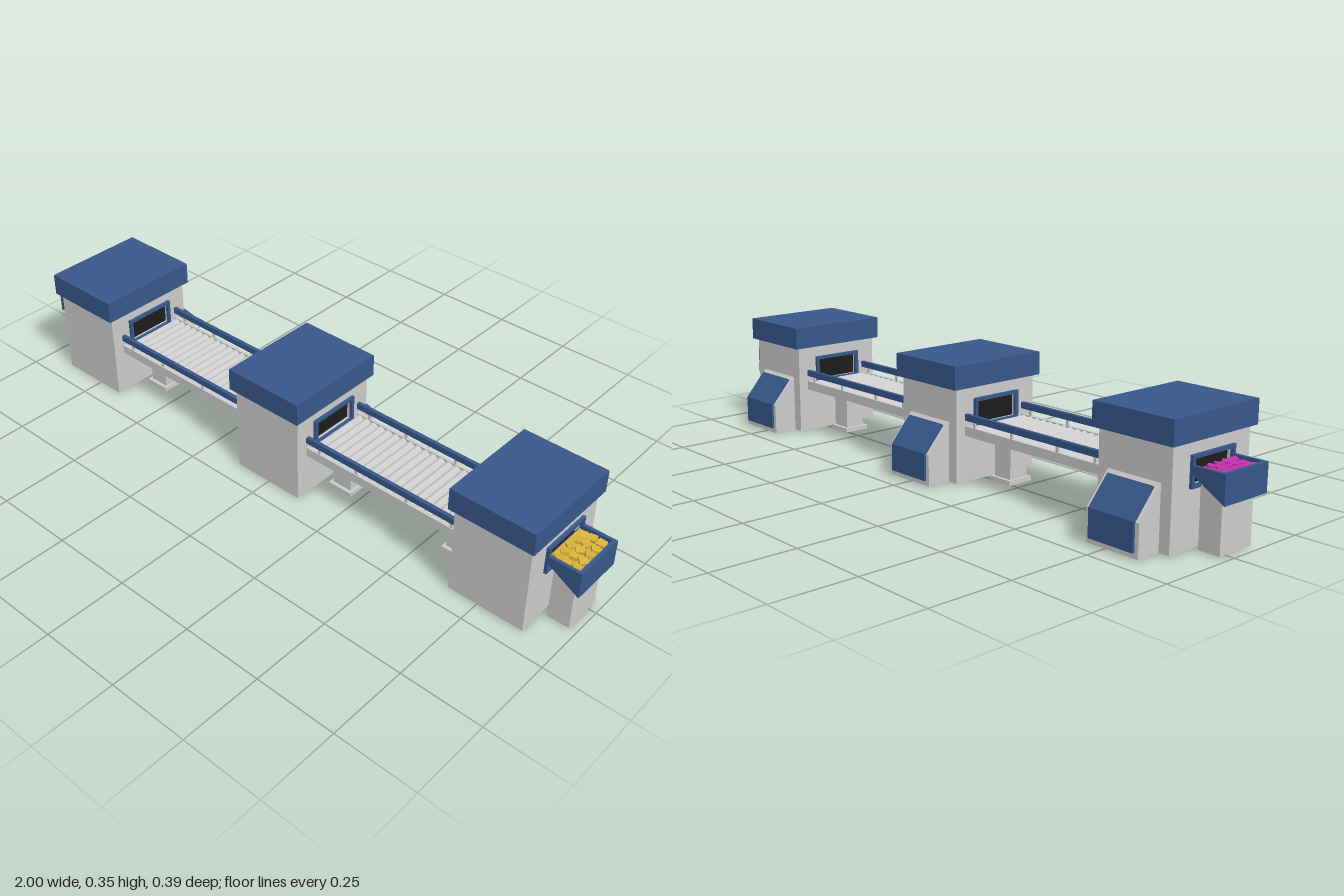
import * as THREE from 'three';

const make = (color) => new THREE.MeshStandardMaterial({ color, side: THREE.DoubleSide, flatShading: true });
const grey = make(0xcccccc), blue = make(0x37588a), dark = make(0x1c1c1c);
const yellow = make(0xd9b23c), magenta = make(0xc832b0);
const MID_Z = 0.033; // centre line of the belts and hoppers

// box given by its min and max on each axis
function box(parent, name, mat, [x0, x1], [y0, y1], [z0, z1]) {
  const mesh = new THREE.Mesh(new THREE.BoxGeometry(x1 - x0, y1 - y0, z1 - z0), mat);
  mesh.position.set((x0 + x1) / 2, (y0 + y1) / 2, (z0 + z1) / 2);
  mesh.name = name;
  parent.add(mesh);
  return mesh;
}

function polygon(points, hole) {
  const shape = new THREE.Shape(points.map(([a, b]) => new THREE.Vector2(a, b)));
  if (hole) shape.holes.push(new THREE.Path(hole.map(([a, b]) => new THREE.Vector2(a, b))));
  return shape;
}

const rect = (a0, a1, b0, b1) => [[a0, b0], [a1, b0], [a1, b1], [a0, b1]];

// profile in (z, y), extruded along x from x0 to x1
function slabX(parent, name, mat, points, x0, x1, hole) {
  const flipped = (list) => list && list.map(([z, y]) => [-z, y]);
  const geo = new THREE.ExtrudeGeometry(polygon(flipped(points), flipped(hole)), { depth: x1 - x0, bevelEnabled: false });
  geo.rotateY(Math.PI / 2).translate(x0, 0, 0);
  const mesh = new THREE.Mesh(geo, mat);
  mesh.name = name;
  parent.add(mesh);
}

// profile in (x, y), extruded along z from z0 to z1
function slabZ(parent, name, mat, points, z0, z1) {
  const geo = new THREE.ExtrudeGeometry(polygon(points), { depth: z1 - z0, bevelEnabled: false });
  geo.translate(0, 0, z0);
  const mesh = new THREE.Mesh(geo, mat);
  mesh.name = name;
  parent.add(mesh);
}

// housing open underneath, with a port on each side and a console behind
function machine(x) {
  const g = new THREE.Group();
  g.name = 'machine';
  g.position.x = x;
  const w = 0.118, t = 0.006, y0 = 0.003, y1 = 0.28, zb = -0.115, zf = 0.183;
  box(g, 'frontWall', grey, [-w, w], [y0, y1], [zf - t, zf]);
  box(g, 'backWall', grey, [-w, w], [y0, y1], [zb, zb + t]);
  const port = rect(-0.04, 0.106, 0.17, 0.235);
  for (const s of [-1, 1]) {
    const span = (a, b) => [Math.min(s * a, s * b), Math.max(s * a, s * b)];
    slabX(g, 'sideWall', grey, rect(zb + t, zf - t, y0, y1), ...span(w - t, w), port);
    slabX(g, 'portFrame', blue, rect(-0.05, 0.117, 0.16, 0.245), ...span(w, w + 0.009), port);
    box(g, 'portCurtain', dark, span(w - 0.022, w - 0.017), [0.16, 0.245], [-0.05, 0.117]);
  }
  box(g, 'roofCap', blue, [-0.13, 0.13], [y1, 0.348], [-0.13, 0.198]);

  // control console
  slabX(g, 'console', grey, [[zb, y0], [-0.19, y0], [-0.19, 0.095], [zb, 0.18]], -0.085, 0.085);
  slabX(g, 'consolePanel', blue, [[-0.189, 0.018], [-0.197, 0.018], [-0.197, 0.098],
    [-0.131, 0.174], [-0.125, 0.169], [-0.189, 0.096]], -0.073, 0.073);
  return g;
}

// roller conveyor between two machines
function conveyor(x) {
  const g = new THREE.Group();
  g.name = 'conveyor';
  g.position.x = x;
  const h = 0.27, zb = -0.083, zf = 0.147;
  box(g, 'bed', grey, [-h, h], [0.14, 0.157], [zb + 0.008, zf - 0.008]);
  const count = 20, step = (2 * h) / count;
  const rollerGeo = new THREE.CylinderGeometry(step / 2, step / 2, zf - zb - 0.02, 10).rotateX(Math.PI / 2);
  for (let i = 0; i < count; i++) {
    const roller = new THREE.Mesh(rollerGeo, grey);
    roller.name = 'roller';
    roller.position.set(-h + (i + 0.5) * step, 0.154, MID_Z);
    g.add(roller);
  }
  for (const [z0, z1] of [[zb, zb + 0.01], [zf - 0.01, zf]]) {
    box(g, 'sideBeam', grey, [-h, h], [0.14, 0.168], [z0, z1]);
    box(g, 'guardRail', blue, [-h, h], [0.185, 0.204], [z0 - 0.001, z1 + 0.001]);
    for (const px of [-0.225, -0.09, 0.085, 0.235])
      box(g, 'railPost', grey, [px - 0.004, px + 0.004], [0.168, 0.185], [z0 + 0.002, z1 - 0.002]);
  }
  for (const lx of [-0.205, 0.205]) {
    box(g, 'leg', grey, [lx - 0.032, lx + 0.032], [0.012, 0.13], [0.002, 0.066]);
    box(g, 'legTop', grey, [lx - 0.04, lx + 0.04], [0.128, 0.14], [-0.008, 0.077]);
    box(g, 'foot', grey, [lx - 0.04, lx + 0.04], [0, 0.014], [-0.008, 0.077]);
  }
  return g;
}

// end hopper on a post, filled with loose blocks; built for the +x end
function hopper(side, fillMat) {
  const g = new THREE.Group();
  g.name = 'hopper';
  const X = (list) => list.map(([x, y]) => [side * x, y]);
  const outer = [[0.892, 0.22], [0.892, 0.203], [1, 0.14], [1, 0.22]];
  slabZ(g, 'hopperBackWall', blue, X(outer), -0.05, -0.04);
  slabZ(g, 'hopperFrontWall', blue, X(outer), 0.107, 0.117);
  slabZ(g, 'hopperFloor', blue, X([[0.892, 0.205], [0.892, 0.203], [1, 0.14], [1, 0.22], [0.988, 0.22], [0.988, 0.155]]), -0.04, 0.107);
  slabZ(g, 'fill', fillMat, X([[0.895, 0.206], [0.988, 0.155], [0.988, 0.204]]), -0.04, 0.107);

  // seeded jumble of blocks
  let seed = 7;
  const rnd = () => (seed = (seed * 16807) % 2147483647) / 2147483647;
  const geo = new THREE.BoxGeometry(0.022, 0.014, 0.022);
  for (let i = 0; i < 3; i++) for (let j = 0; j < 5; j++) {
    const block = new THREE.Mesh(geo, fillMat);
    block.name = 'block';
    block.position.set(side * (0.916 + i * 0.027), 0.203 + rnd() * 0.006, -0.024 + j * 0.029);
    block.rotation.set(rnd() * 0.5 - 0.25, rnd() * 1.5, rnd() * 0.5 - 0.25);
    g.add(block);
  }

  // hollow post
  const [x0, x1] = side > 0 ? [0.911, 0.977] : [-0.977, -0.911];
  const [za, zc] = [-0.027, 0.095], t = 0.004;
  const post = X([[0.911, 0.003], [0.977, 0.003], [0.977, 0.154], [0.911, 0.192]]);
  slabZ(g, 'postBack', grey, post, za, za + t);
  slabZ(g, 'postFront', grey, post, zc - t, zc);
  const inner = side > 0 ? [x0, x0 + t] : [x1 - t, x1];
  const outerWall = side > 0 ? [x1 - t, x1] : [x0, x0 + t];
  box(g, 'postInner', grey, inner, [0.003, 0.189], [za + t, zc - t]);
  box(g, 'postOuter', grey, outerWall, [0.003, 0.154], [za + t, zc - t]);
  return g;
}

export function createModel() {
  const model = new THREE.Group();
  model.name = 'productionLine';
  for (const x of [-0.776, 0, 0.776]) model.add(machine(x));
  for (const x of [-0.389, 0.389]) model.add(conveyor(x));
  model.add(hopper(1, yellow), hopper(-1, magenta));
  return model;
}
